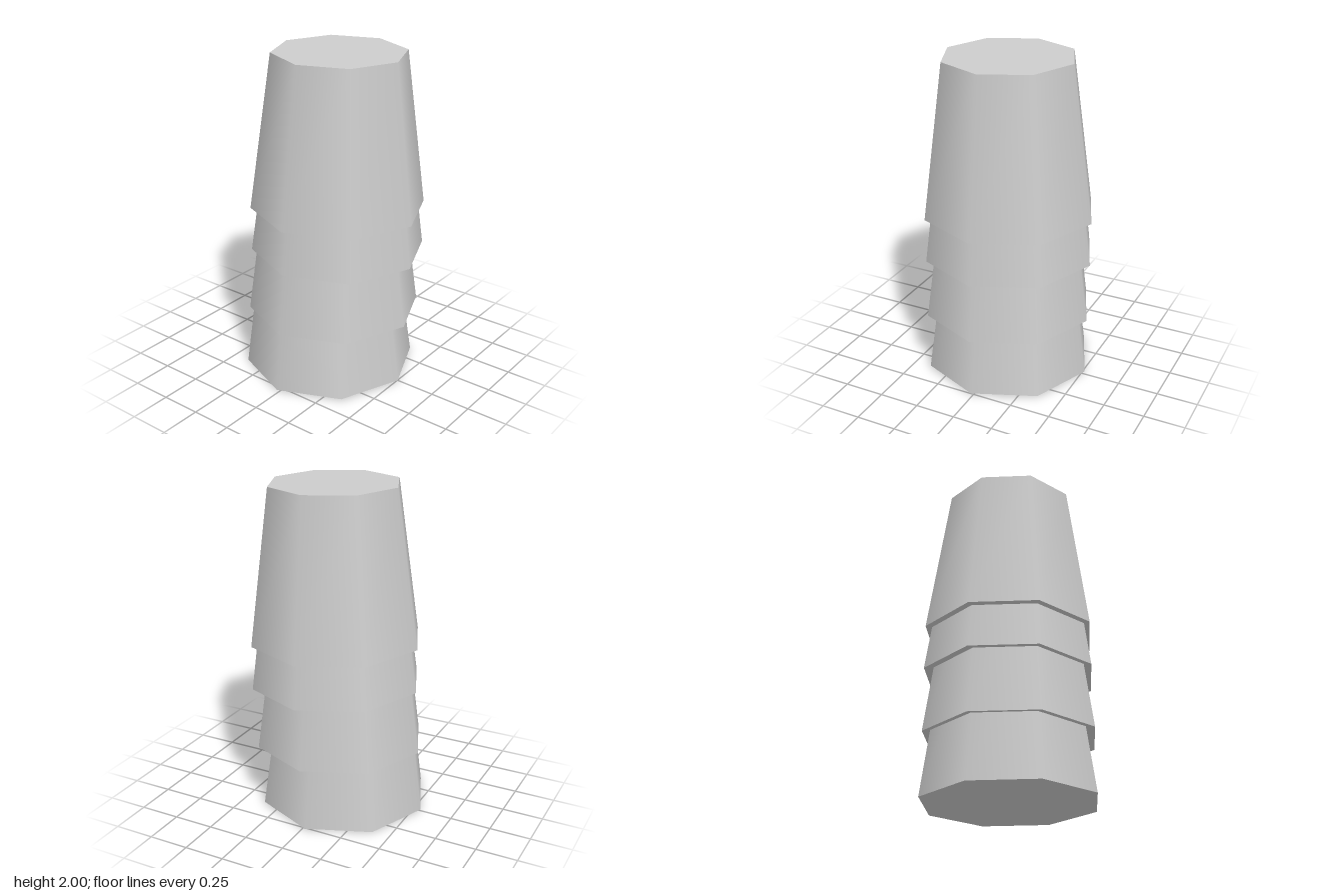
import * as THREE from 'three';

const HEIGHT = 0.94, RIM = 0.5275, BASE = 0.396;

// Upside-down eight-sided cups, stacked a little crookedly: rim centre x, y, z and tilt about x
const CUPS = [
  { name: 'bottomCup', at: [-0.0125, 0.005, -0.0175], tilt: -0.009 },
  { name: 'lowerMiddleCup', at: [-0.0025, 0.392, 0.0075], tilt: 0 },
  { name: 'upperMiddleCup', at: [0.0125, 0.785, 0.0265], tilt: 0.012 },
  { name: 'topCup', at: [0.0125, 1.057, 0.0265], tilt: 0.012 },
];

export function createModel() {
  const group = new THREE.Group();
  group.name = 'cupStack';
  const material = new THREE.MeshStandardMaterial({ color: 0xcccccc });

  // One tapered cup, with its origin moved to the centre of the rim
  const geometry = new THREE.CylinderGeometry(BASE, RIM, HEIGHT, 8);
  geometry.translate(0, HEIGHT / 2, 0);

  for (const { name, at, tilt } of CUPS) {
    const cup = new THREE.Mesh(geometry, material);
    cup.name = name;
    cup.position.set(...at);
    cup.rotation.x = tilt;
    group.add(cup);
  }
  return group;
}
